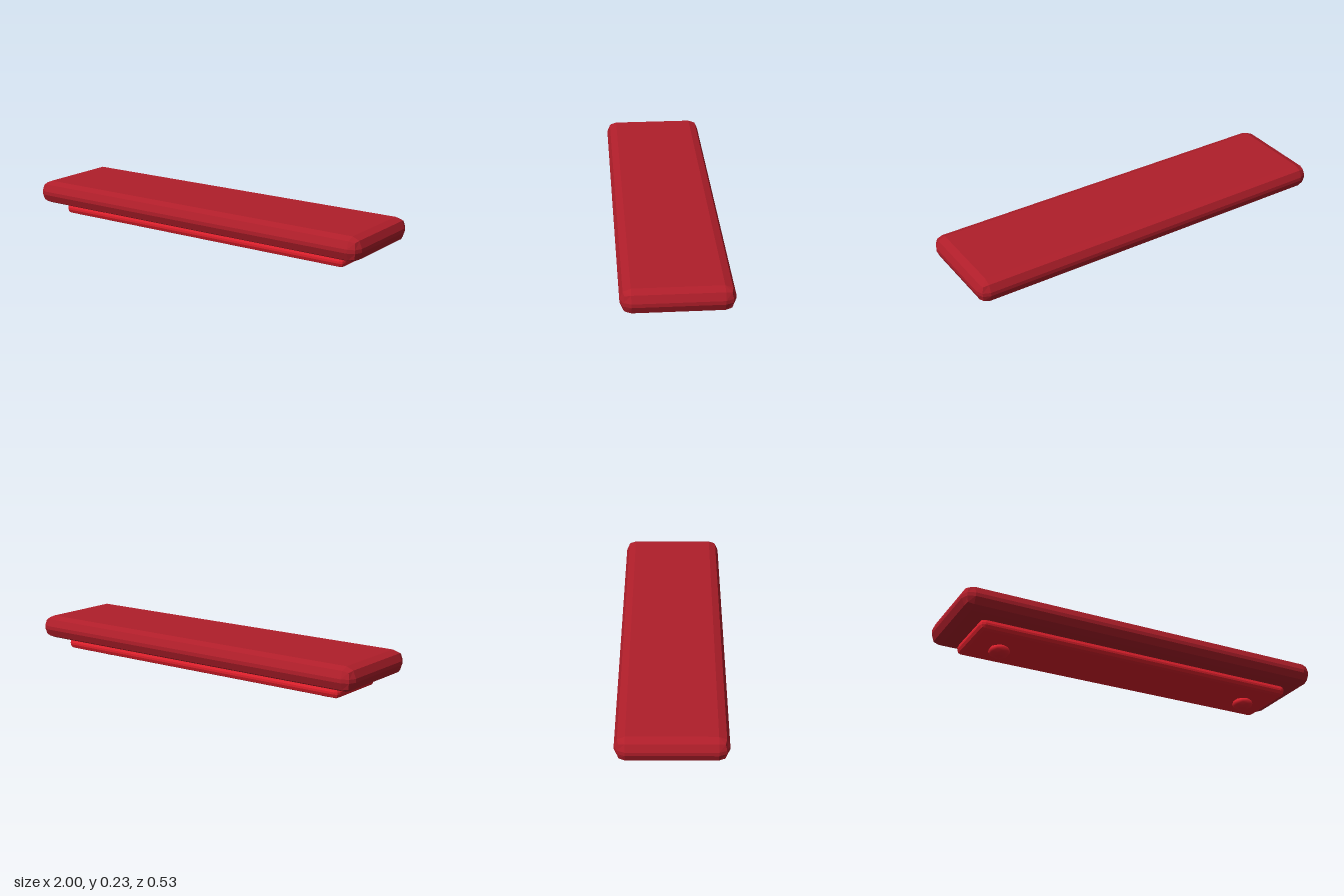
import * as THREE from 'three';
import { RoundedBoxGeometry } from 'three/addons/geometries/RoundedBoxGeometry.js';

const darkRed = new THREE.MeshStandardMaterial({ color: 0xb01e2a, flatShading: true });
const brightRed = new THREE.MeshStandardMaterial({ color: 0xe0202c, flatShading: true });
const footRed = new THREE.MeshStandardMaterial({ color: 0xe0202c });

// Slab with a two-step bevel on every edge, resting between two heights
function slab(name, width, bottom, top, depth, bevel, material) {
  const geometry = new RoundedBoxGeometry(width, top - bottom, depth, 1, bevel);
  const mesh = new THREE.Mesh(geometry, material);
  mesh.name = name;
  mesh.position.y = (bottom + top) / 2;
  return mesh;
}

export function createModel() {
  const model = new THREE.Group();
  model.name = 'bevelledBar';

  // Main bar and the narrower plate beneath it
  model.add(slab('mainBar', 2, 0.108, 0.231, 0.532, 0.052, darkRed));
  model.add(slab('basePlate', 1.76, 0.048, 0.105, 0.35, 0.023, brightRed));

  // Flattened round feet, partly sunk into the plate
  const footGeometry = new THREE.IcosahedronGeometry(1, 1);
  footGeometry.scale(0.055, 0.03, 0.058);
  for (const side of [-1, 1]) {
    const foot = new THREE.Mesh(footGeometry, footRed);
    foot.name = side > 0 ? 'leftFoot' : 'rightFoot';
    foot.position.set(side * 0.715, 0.031, 0);
    model.add(foot);
  }
  return model;
}
